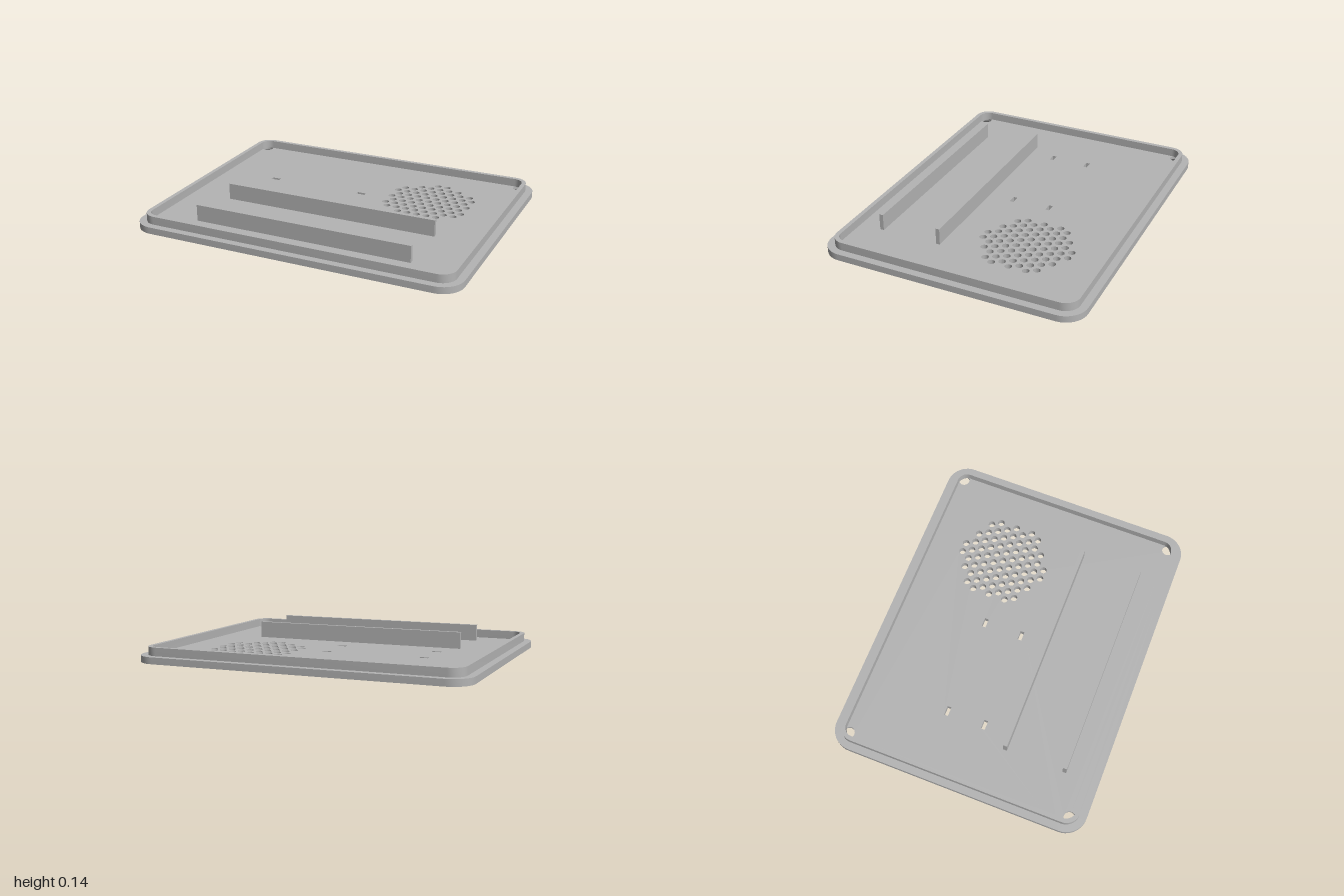
import * as THREE from 'three';
import { mergeGeometries, toCreasedNormals } from 'three/addons/utils/BufferGeometryUtils.js';

const PLATE_TOP = 0.04, RIM_TOP = 0.09, RAIL_TOP = 0.14;
const SINK_DEPTH = 0.02, SINK_RADIUS = 0.05, SCREW_RADIUS = 0.034;

// Outlines are lists of [x, z] points; every one runs the same way round
function roundedRect(hx, hz, r, n = 10) {
  const pts = [];
  [[1, 1], [-1, 1], [-1, -1], [1, -1]].forEach(([sx, sz], corner) => {
    for (let i = 0; i <= n; i++) {
      const a = (corner + i / n) * Math.PI / 2;
      pts.push(new THREE.Vector2(sx * (hx - r) + r * Math.cos(a), sz * (hz - r) + r * Math.sin(a)));
    }
  });
  return pts;
}

function circle(x, z, r, n) {
  return Array.from({ length: n }, (_, i) => {
    const a = i / n * Math.PI * 2;
    return new THREE.Vector2(x + r * Math.cos(a), z + r * Math.sin(a));
  });
}

function rect(x, z, w, d) {
  return [[1, 1], [-1, 1], [-1, -1], [1, -1]].map(([sx, sz]) => new THREE.Vector2(x + sx * w / 2, z + sz * d / 2));
}

// Flat face with holes at height y, facing up or down
function cap(outline, holes, y, up) {
  const flip = p => new THREE.Vector2(p.x, up ? -p.y : p.y);
  const shape = new THREE.Shape(outline.map(flip));
  shape.holes = holes.map(h => new THREE.Path(h.map(flip)));
  const g = new THREE.ShapeGeometry(shape).toNonIndexed();
  g.deleteAttribute('uv');
  return g.rotateX(up ? -Math.PI / 2 : Math.PI / 2).translate(0, y, 0);
}

// Wall between two matching outlines, facing outward or into a hole
function wall(lower, y0, upper, y1, inward) {
  const pos = [];
  lower.forEach((a, i) => {
    const j = (i + 1) % lower.length;
    const A = [a.x, y0, a.y], B = [lower[j].x, y0, lower[j].y];
    const C = [upper[j].x, y1, upper[j].y], D = [upper[i].x, y1, upper[i].y];
    const quad = inward ? [A, B, C, A, C, D] : [A, C, B, A, D, C];
    quad.forEach(p => pos.push(...p));
  });
  const g = new THREE.BufferGeometry();
  g.setAttribute('position', new THREE.Float32BufferAttribute(pos, 3));
  g.computeVertexNormals();
  return g;
}

const finish = parts => toCreasedNormals(mergeGeometries(parts), 0.6);

export function createModel() {
  const model = new THREE.Group();
  model.name = 'enclosureLid';
  const grey = new THREE.MeshStandardMaterial({ color: 0xb4b4b4 });
  grey.name = 'grey plastic';
  const add = (name, geometry) => {
    const mesh = new THREE.Mesh(geometry, grey);
    mesh.name = name;
    model.add(mesh);
    return mesh;
  };

  // Honeycomb of vent holes filling a disc
  const through = [];
  const pitch = 0.0605, rowStep = pitch * Math.sqrt(3) / 2;
  for (let row = -5; row <= 5; row++) {
    for (let col = -5; col <= 5; col++) {
      const u = col + (row % 2 ? 0.5 : 0), shift = row % 2 ? u : col;
      // even rows carry a hole on the centre line, odd rows straddle it
      if (shift * shift + row * row * 0.75 < 19.5) {
        through.push(circle(0.462 + u * pitch, -0.252 + row * rowStep, 0.021, 16));
      }
    }
  }

  // Four small slots
  for (const x of [-0.572, 0.032]) {
    for (const z of [-0.2, 0.036]) through.push(rect(x, z, 0.056, 0.025));
  }

  // Base plate with countersunk corner screw holes
  const outline = roundedRect(1, 0.79, 0.13);
  const screws = [], sinks = [];
  for (const x of [-0.905, 0.905]) {
    for (const z of [-0.695, 0.695]) {
      screws.push(circle(x, z, SCREW_RADIUS, 32));
      sinks.push(circle(x, z, SINK_RADIUS, 32));
    }
  }
  add('basePlate', finish([
    cap(outline, [...through, ...screws], PLATE_TOP, true),
    cap(outline, [...through, ...sinks], 0, false),
    wall(outline, 0, outline, PLATE_TOP, false),
    ...through.map(h => wall(h, 0, h, PLATE_TOP, true)),
    ...sinks.map((s, i) => wall(s, 0, screws[i], SINK_DEPTH, true)),
    ...screws.map(s => wall(s, SINK_DEPTH, s, PLATE_TOP, true)),
  ]));

  // Raised locating rim
  const rimOuter = roundedRect(0.956, 0.746, 0.086);
  const rimInner = roundedRect(0.93, 0.72, 0.06);
  add('rim', finish([
    cap(rimOuter, [rimInner], RIM_TOP, true),
    cap(rimOuter, [rimInner], PLATE_TOP, false),
    wall(rimOuter, PLATE_TOP, rimOuter, RIM_TOP, false),
    wall(rimInner, PLATE_TOP, rimInner, RIM_TOP, true),
  ]));

  // Two long upright rails
  const railHeight = RAIL_TOP - PLATE_TOP;
  [['backRail', 0.206], ['frontRail', 0.576]].forEach(([name, z]) => {
    add(name, new THREE.BoxGeometry(1.34, railHeight, 0.024)).position.set(0, PLATE_TOP + railHeight / 2, z);
  });

  return model;
}
